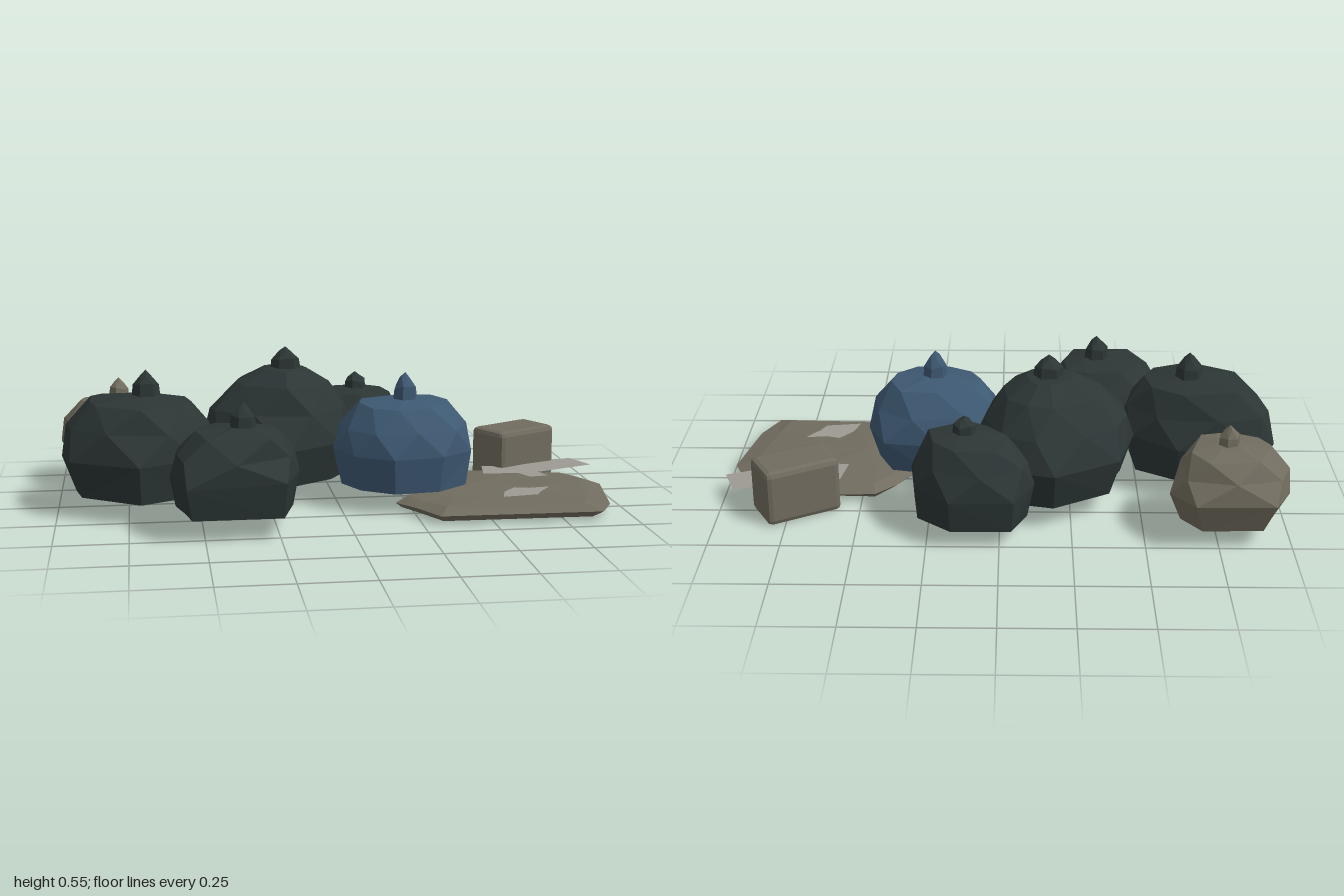
import * as THREE from 'three';
import { RoundedBoxGeometry } from 'three/addons/geometries/RoundedBoxGeometry.js';

// Small repeatable noise source for crumpled facets
function noise(seed) {
  let s = seed * 7919 + 17;
  return () => {
    s = (s * 16807) % 2147483647;
    return s / 2147483647 - 0.5;
  };
}

// Closed loft: the plan outline is scaled towards a centre at each level.
// levels: [y, scale, halfStep]; halfStep puts vertices between outline corners.
function loft(outline, [cx, cz], levels, topY, jitter, seed) {
  const rnd = noise(seed);
  const n = outline.length;
  const pos = [], idx = [];
  let shift = 0;
  levels.forEach(([y, scale, half], level) => {
    if (half) shift += 0.5;
    for (let j = 0; j < n; j++) {
      const k = j + shift, a = Math.floor(k) % n, b = Math.ceil(k) % n;
      const x = (outline[a][0] + outline[b][0]) / 2;
      const z = (outline[a][1] + outline[b][1]) / 2;
      const s = scale < 0.99 ? scale * (1 + rnd() * jitter) : scale;
      const lift = level === 0 ? 0 : rnd() * jitter * 0.2 * scale;
      pos.push(cx + (x - cx) * s, y + lift, cz + (z - cz) * s);
    }
  });
  const bottom = pos.length / 3, top = bottom + 1;
  pos.push(cx, levels[0][0], cz, cx, topY, cz);
  const last = (levels.length - 1) * n;
  for (let j = 0; j < n; j++) {
    const m = (j + 1) % n;
    idx.push(j, m, bottom, last + j, top, last + m);
    for (let r = 0; r < levels.length - 1; r++) {
      const a = r * n, b = a + n;
      if (!levels[r + 1][2] && j % 2) idx.push(a + j, b + j, b + m, a + j, b + m, a + m);
      else idx.push(a + j, b + j, a + m, a + m, b + j, b + m);
    }
  }
  const g = new THREE.BufferGeometry();
  g.setAttribute('position', new THREE.Float32BufferAttribute(pos, 3));
  g.setIndex(idx);
  const flat = g.toNonIndexed();
  flat.computeVertexNormals();
  return flat;
}

export function createModel() {
  const model = new THREE.Group();
  model.name = 'rubbishPile';

  const material = (name, color, extra = {}) => {
    const m = new THREE.MeshStandardMaterial({ color, flatShading: true, ...extra });
    m.name = name;
    return m;
  };
  const black = material('blackPlastic', 0x2c3635);
  const blue = material('bluePlastic', 0x3e5973);
  const tan = material('dullTan', 0x716c5f);
  const paper = material('greyPaper', 0x9c9a92, { side: THREE.DoubleSide });

  const add = (parent, name, geometry, mat) => {
    const mesh = new THREE.Mesh(geometry, mat);
    mesh.name = name;
    parent.add(mesh);
    return mesh;
  };

  // Bag profiles: height fraction, plan scale, half-step (the base ring is set per bag)
  const round = [[0.4, 1, false], [0.68, 0.95, true], [0.93, 0.64, true], [0.98, 0.25, false]];
  const sloped = [[0.36, 1, false], [0.62, 0.92, true], [0.86, 0.62, true], [0.98, 0.3, false]];

  // Tied bags: plan outline, knot position, base, shoulder and knot-tip heights, base scale, knot radius
  const bags = [
    { name: 'largeBag', mat: black, knot: [-0.17, -0.11], y: [0.08, 0.48, 0.55], base: 0.84, radius: 0.058, profile: sloped,
      plan: [[-0.45, -0.18], [-0.42, -0.28], [-0.19, -0.42], [-0.05, -0.38], [0.06, -0.26],
        [0.09, -0.08], [0.01, 0.06], [-0.19, 0.19], [-0.43, 0.03], [-0.48, -0.07]] },
    { name: 'rightBag', mat: black, knot: [-0.68, 0.035], y: [0.07, 0.415, 0.5], base: 0.86, radius: 0.052, profile: round,
      plan: [[-0.98, -0.11], [-0.93, -0.155], [-0.63, -0.17], [-0.47, -0.06], [-0.44, 0.1],
        [-0.5, 0.21], [-0.71, 0.315], [-0.95, 0.165], [-0.98, 0.05]] },
    { name: 'frontBag', mat: black, knot: [-0.36, 0.35], y: [0.075, 0.355, 0.435], base: 0.92, radius: 0.047, profile: round,
      plan: [[-0.57, 0.2], [-0.5, 0.15], [-0.3, 0.16], [-0.18, 0.2], [-0.17, 0.35],
        [-0.23, 0.545], [-0.56, 0.545], [-0.58, 0.45], [-0.61, 0.32]] },
    { name: 'backBag', mat: black, knot: [0.12, -0.33], y: [0.065, 0.36, 0.415], base: 0.92, radius: 0.044, profile: round,
      plan: [[-0.12, -0.4], [-0.05, -0.52], [0.17, -0.53], [0.29, -0.42], [0.31, -0.26],
        [0.11, -0.155], [0, -0.19], [-0.1, -0.32]] },
    { name: 'blueBag', mat: blue, knot: [0.24, 0.09], y: [0.075, 0.39, 0.48], base: 0.89, radius: 0.047, profile: round,
      plan: [[0.02, -0.06], [0.22, -0.135], [0.42, -0.1], [0.485, 0.04], [0.47, 0.16],
        [0.35, 0.27], [0.17, 0.29], [0.04, 0.21], [-0.02, 0.08]] },
    { name: 'tanBag', mat: tan, knot: [-0.78, -0.37], y: [0.07, 0.34, 0.405], base: 0.78, radius: 0.04, profile: round,
      plan: [[-0.93, -0.54], [-0.66, -0.55], [-0.58, -0.43], [-0.65, -0.24], [-0.8, -0.205],
        [-0.96, -0.25], [-1, -0.35], [-0.99, -0.42]] },
  ];

  bags.forEach((bag, i) => {
    const group = new THREE.Group();
    group.name = bag.name;
    model.add(group);
    const [y0, y1, tip] = bag.y;
    const levels = [[0, bag.base, false], ...bag.profile].map(([f, s, h]) => [y0 + (y1 - y0) * f, s, h]);
    add(group, 'sack', loft(bag.plan, bag.knot, levels, y1, 0.08, i + 1), bag.mat);

    // Gathered knot: a six-sided stub with a pointed tip
    const ring = Array.from({ length: 6 }, (_, k) => {
      const a = k * Math.PI / 3 + i;
      return [bag.knot[0] + bag.radius * Math.cos(a), bag.knot[1] + bag.radius * Math.sin(a)];
    });
    const h = tip - y1;
    const knotLevels = [[y1 - 0.03, 1, false], [y1 + h * 0.4, 0.88, false], [y1 + h * 0.75, 0.48, true]];
    add(group, 'knot', loft(ring, bag.knot, knotLevels, tip, 0.08, i + 20), bag.mat);
  });

  // Flattened heap lying on the ground
  const heapPlan = [[0.45, -0.18], [0.6, -0.18], [0.93, -0.09], [0.99, 0.04], [0.94, 0.32],
    [0.88, 0.435], [0.31, 0.42], [0.25, 0.3], [0.19, 0.2], [0.38, -0.1]];
  const heapLevels = [[0.01, 0.93, false], [0.03, 1, false], [0.052, 0.85, false], [0.063, 0.5, true]];
  add(model, 'flatHeap', loft(heapPlan, [0.5, 0.12], heapLevels, 0.075, 0.05, 40), tan);

  // Loose paper scraps resting on the heap
  const scraps = [
    [[0.95, -0.23], [1, -0.11], [0.77, -0.02], [0.79, 0.04], [0.72, 0.05],
      [0.69, -0.01], [0.56, -0.02], [0.58, -0.14], [0.7, -0.13]],
    [[0.62, 0.2], [0.67, 0.215], [0.75, 0.205], [0.7, 0.27], [0.68, 0.31], [0.55, 0.33], [0.57, 0.26]],
  ];
  for (const points of scraps) {
    const shape = new THREE.Shape(points.map(([x, z]) => new THREE.Vector2(x, -z)));
    const sheet = add(model, 'paperScrap', new THREE.ShapeGeometry(shape).rotateX(-Math.PI / 2), paper);
    sheet.position.y = 0.07;
  }

  // Bevelled box
  const box = add(model, 'box', new RoundedBoxGeometry(0.277, 0.205, 0.172, 1, 0.02), tan);
  box.position.set(0.725, 0.1025, -0.235);
  box.rotation.y = 0.51;

  return model;
}
